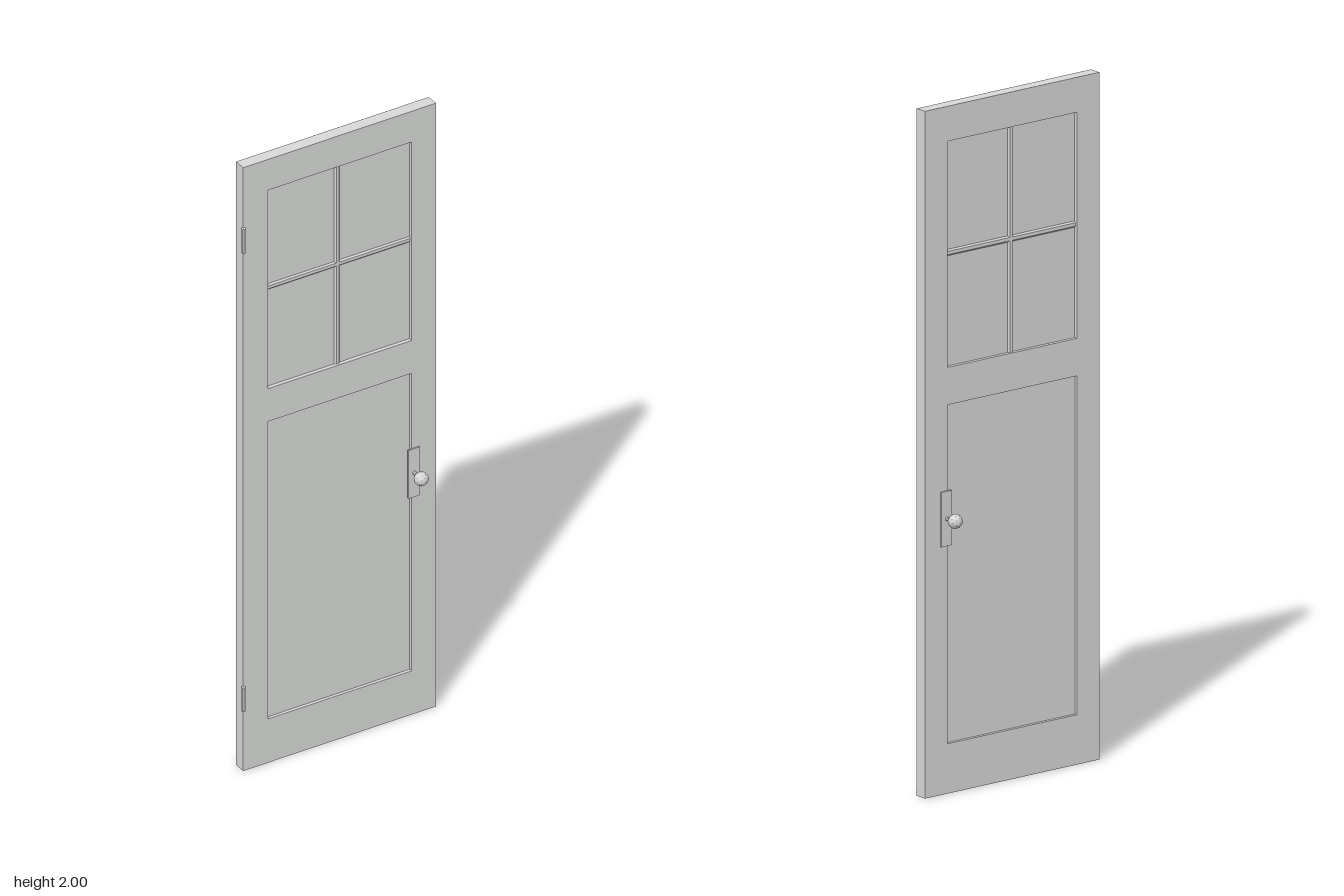
import * as THREE from 'three';

const paint = new THREE.MeshStandardMaterial({ color: 0xd7d9d7, flatShading: true });
paint.name = 'light grey paint';

// Door slab extents and its two openings
const LEFT = -0.317, RIGHT = 0.322, HEIGHT = 2;
const FRONT = 0.018, BACK = -0.02, MID = (FRONT + BACK) / 2, DEPTH = FRONT - BACK;
const WINDOW = { x0: -0.235, x1: 0.241, y0: 1.24, y1: 1.898 };
const PANEL = { x0: -0.235, x1: 0.241, y0: 0.145, y1: 1.131 };
const BAR_X = 0.001, BAR_Y = 1.57, BAR_RADIUS = 0.0125;

function add(group, name, geometry, x = 0, y = 0, z = 0) {
  const mesh = new THREE.Mesh(geometry, paint);
  mesh.name = name;
  mesh.position.set(x, y, z);
  group.add(mesh);
  return mesh;
}

// Box filling a rectangle, centred in the door's thickness
function slab(group, name, r, depth) {
  add(group, name, new THREE.BoxGeometry(r.x1 - r.x0, r.y1 - r.y0, depth),
    (r.x0 + r.x1) / 2, (r.y0 + r.y1) / 2, MID);
}

// Eight-sided rod, turned so that flats face front and back
function rod(radius, length) {
  return new THREE.CylinderGeometry(radius, radius, length, 8).rotateY(Math.PI / 8);
}

function rectangle(Type, { x0, x1, y0, y1 }) {
  return new Type([[x0, y0], [x1, y0], [x1, y1], [x0, y1]].map(p => new THREE.Vector2(...p)));
}

function makeKnob(side) {
  const knob = new THREE.Group();
  knob.name = side > 0 ? 'frontKnob' : 'backKnob';
  add(knob, 'plate', new THREE.BoxGeometry(0.038, 0.16, 0.005), 0, 0, side * 0.0025);
  add(knob, 'stem', rod(0.006, 0.03).rotateX(Math.PI / 2), 0, 0, side * 0.015);
  add(knob, 'ball', new THREE.IcosahedronGeometry(0.0215, 1), 0, 0, side * 0.0415);
  knob.position.set(0.247, 0.802, side > 0 ? FRONT : BACK);
  return knob;
}

export function createModel() {
  const door = new THREE.Group();
  door.name = 'door';

  // Frame with window and panel openings
  const outline = rectangle(THREE.Shape, { x0: LEFT, x1: RIGHT, y0: 0, y1: HEIGHT });
  outline.holes.push(rectangle(THREE.Path, WINDOW), rectangle(THREE.Path, PANEL));
  add(door, 'frame', new THREE.ExtrudeGeometry(outline, { depth: DEPTH, bevelEnabled: false }), 0, 0, BACK);

  // Recessed infills
  slab(door, 'windowPane', WINDOW, DEPTH - 0.024);
  slab(door, 'lowerPanel', PANEL, DEPTH - 0.02);

  // Window bars
  add(door, 'verticalBar', rod(BAR_RADIUS, WINDOW.y1 - WINDOW.y0),
    BAR_X, (WINDOW.y0 + WINDOW.y1) / 2, MID);
  add(door, 'horizontalBar', rod(BAR_RADIUS, WINDOW.x1 - WINDOW.x0).rotateZ(Math.PI / 2),
    (WINDOW.x0 + WINDOW.x1) / 2, BAR_Y, MID);

  // Knobs on both faces
  for (const side of [1, -1]) door.add(makeKnob(side));

  // Hinge barrels
  for (const [name, y] of [['lowerHinge', 0.24], ['upperHinge', 1.76]])
    add(door, name, rod(0.0062, 0.08), -0.317, y, 0.02);

  return door;
}
